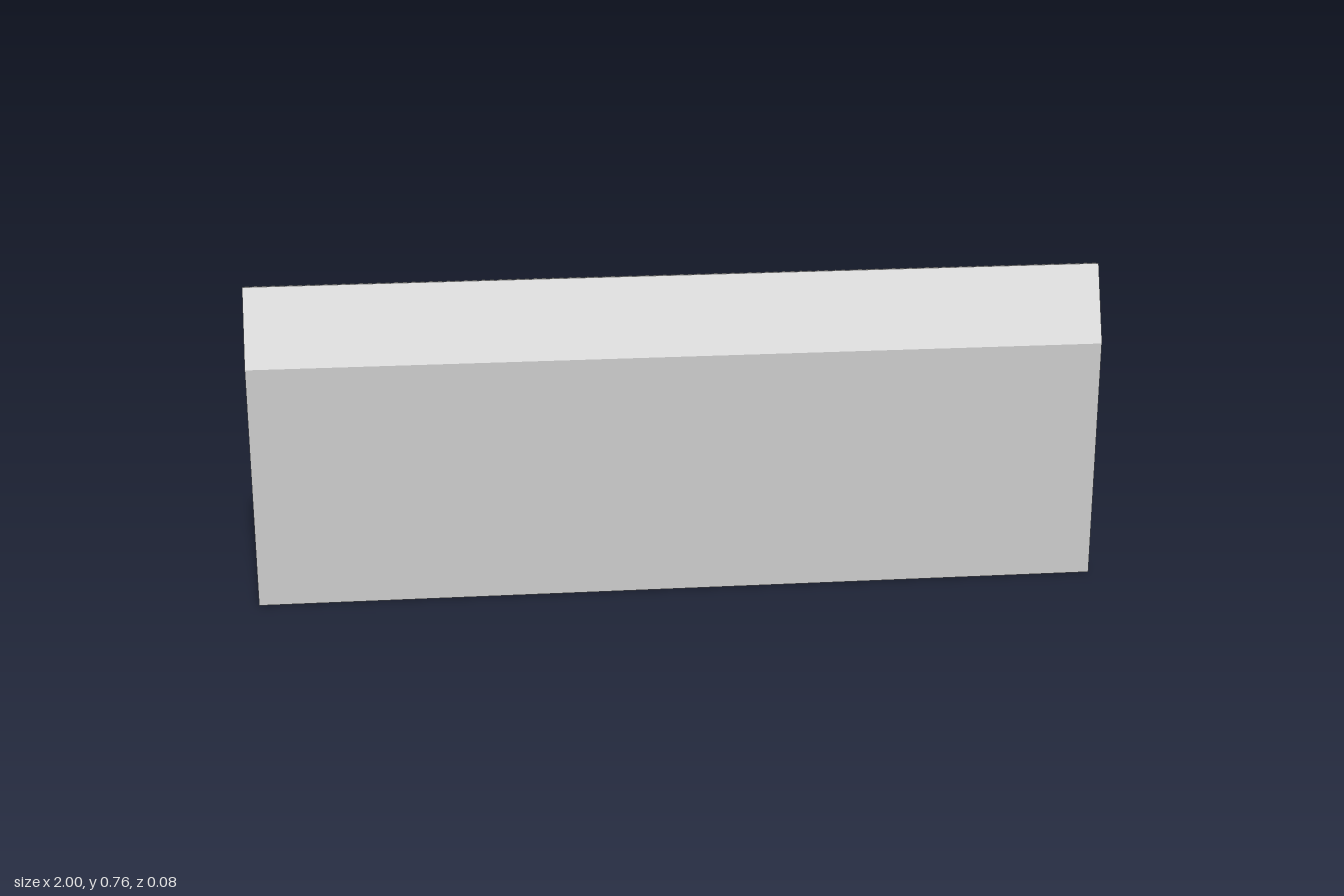
import * as THREE from 'three';

const WIDTH = 2, RIBS = 100;
const material = new THREE.MeshStandardMaterial({ color: 0xcccccc, flatShading: true });

// Sheet with a flat front and ribs running up its back.
// The front plane leans from z0 at the bottom to z1 at the top; the ends stay level.
function ribbedSheet(name, y0, y1, z0, z1, thickness) {
  const pitch = WIDTH / RIBS, base = thickness * 0.45;
  const shape = new THREE.Shape();
  shape.moveTo(-WIDTH / 2, 0);
  shape.lineTo(WIDTH / 2, 0);
  shape.lineTo(WIDTH / 2, base);
  for (let i = RIBS - 1; i >= 0; i--) {
    const x = -WIDTH / 2 + i * pitch;
    shape.lineTo(x + pitch * 0.8, base);
    shape.lineTo(x + pitch * 0.65, thickness);
    shape.lineTo(x + pitch * 0.35, thickness);
    shape.lineTo(x + pitch * 0.2, base);
  }
  shape.lineTo(-WIDTH / 2, base);

  const height = y1 - y0;
  const geometry = new THREE.ExtrudeGeometry(shape, { depth: height, bevelEnabled: false });
  geometry.rotateX(-Math.PI / 2);
  // Lean the sheet by shearing it along z
  const p = geometry.attributes.position;
  for (let i = 0; i < p.count; i++) {
    const t = p.getY(i) / height;
    p.setXYZ(i, p.getX(i), y0 + p.getY(i), p.getZ(i) + z0 + (z1 - z0) * t);
  }
  geometry.computeVertexNormals();
  const mesh = new THREE.Mesh(geometry, material);
  mesh.name = name;
  return mesh;
}

export function createModel() {
  const group = new THREE.Group();
  group.name = 'ribbedPanel';
  group.add(
    ribbedSheet('uprightSheet', 0, 0.585, 0.037, 0.037, 0.006),
    ribbedSheet('slopedSheet', 0.584, 0.761, 0.039, -0.03, 0.008)
  );
  return group;
}
